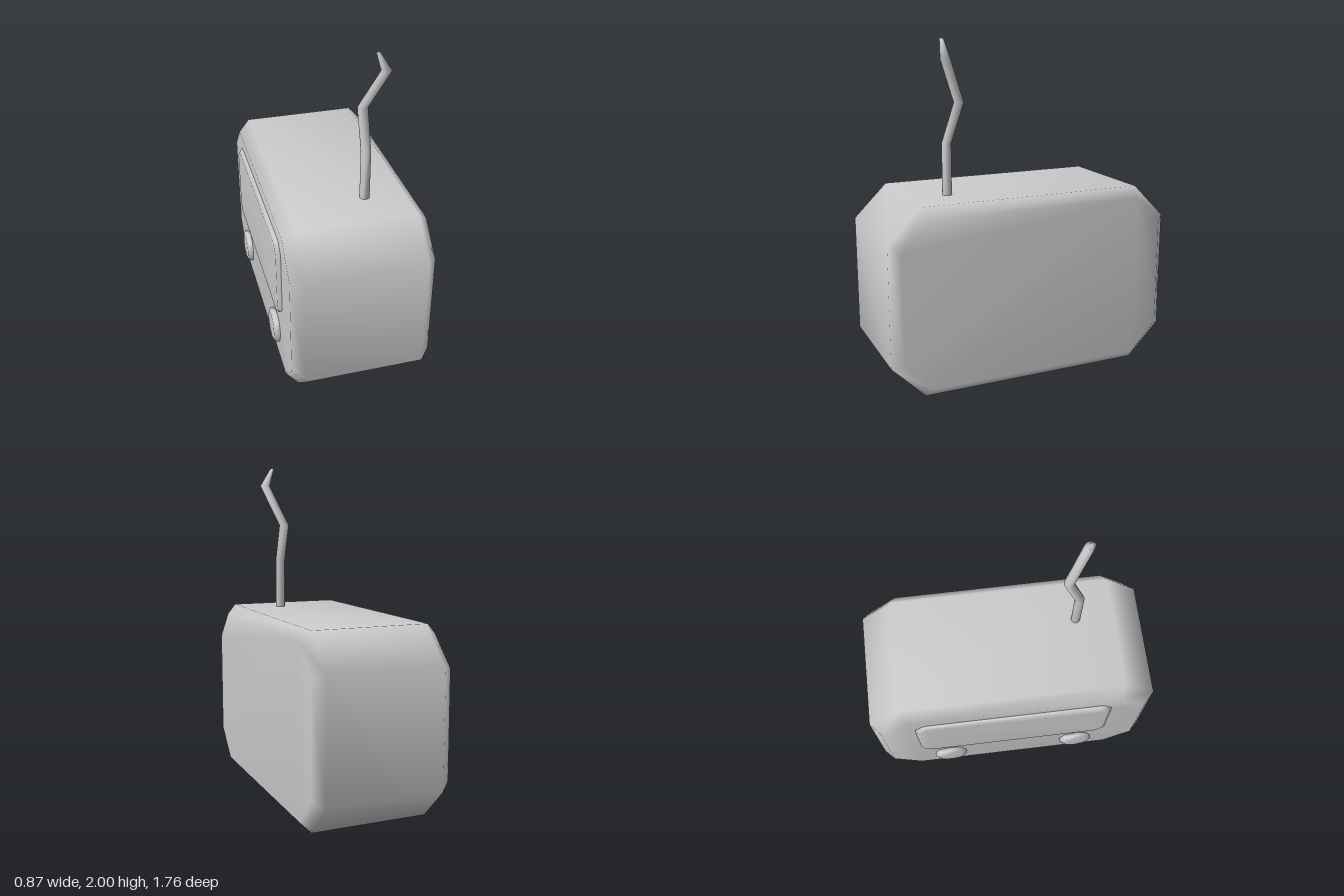
import * as THREE from 'three';

// Closed, smooth skin over cross-sections, each ordered counter-clockwise about the loft axis
function loft(rings) {
  const n = rings[0].length, last = (rings.length - 1) * n, index = [];
  for (let i = 0; i < rings.length - 1; i++) {
    for (let j = 0; j < n; j++) {
      const k = (j + 1) % n;
      const a = i * n + j, b = i * n + k, c = b + n, d = a + n;
      index.push(a, b, c, a, c, d);
    }
  }
  for (let j = 1; j < n - 1; j++) {
    index.push(0, j + 1, j, last, last + j, last + j + 1);
  }
  const geometry = new THREE.BufferGeometry();
  geometry.setAttribute('position', new THREE.Float32BufferAttribute(rings.flat(2), 3));
  geometry.setIndex(index);
  geometry.computeVertexNormals();
  return geometry;
}

// Rectangle with cut corners, standing across the x axis
function cutRect(x, cy, hy, hz, cut) {
  const y = hy - cut, z = hz - cut;
  return [[hy, -z], [hy, z], [y, hz], [-y, hz], [-hy, z], [-hy, -z], [-y, -hz], [y, -hz]]
    .map(([py, pz]) => [x, cy + py, pz]);
}

// Regular polygon, standing across the x axis
function discRing(x, cy, cz, r, sides = 8) {
  return Array.from({ length: sides }, (_, i) => {
    const a = (i / sides) * Math.PI * 2;
    return [x, cy + r * Math.cos(a), cz + r * Math.sin(a)];
  });
}

// Horizontal polygon around a point of the antenna
function levelRing([x, y, z, r], sides = 10) {
  return Array.from({ length: sides }, (_, i) => {
    const a = (i / sides) * Math.PI * 2;
    return [x + r * Math.sin(a), y, z + r * Math.cos(a)];
  });
}

export function createModel() {
  const group = new THREE.Group();
  const material = new THREE.MeshStandardMaterial({ color: 0xcccccc });
  const add = (name, rings) => {
    const mesh = new THREE.Mesh(loft(rings), material);
    mesh.name = name;
    group.add(mesh);
  };

  // Bevelled case
  add('case', [
    cutRect(-0.4, 0.555, 0.49, 0.815, 0.17),
    cutRect(-0.33, 0.555, 0.555, 0.88, 0.2),
    cutRect(0.37, 0.555, 0.555, 0.88, 0.2),
    cutRect(0.43, 0.555, 0.495, 0.82, 0.17),
  ]);

  // Raised display panel on the -x side
  add('displayPanel', [
    cutRect(-0.425, 0.715, 0.235, 0.585, 0.05),
    cutRect(-0.408, 0.715, 0.255, 0.605, 0.06),
    cutRect(-0.38, 0.715, 0.255, 0.605, 0.06),
  ]);

  // Pair of dials below the panel
  for (const [name, z] of [['frontDial', 0.425], ['rearDial', -0.425]]) {
    add(name, [
      discRing(-0.435, 0.267, z, 0.085),
      discRing(-0.422, 0.267, z, 0.106),
      discRing(-0.38, 0.267, z, 0.106),
    ]);
  }

  // Bent antenna: x, y, z, radius
  add('antenna', [
    [0.13, 1.09, 0.445, 0.029],
    [0.13, 1.41, 0.445, 0.029],
    [0.13, 1.64, 0.366, 0.03],
    [0.22, 1.89, 0.475, 0.03],
    [0.168, 2, 0.477, 0.012],
  ].map((p) => levelRing(p)));

  return group;
}
